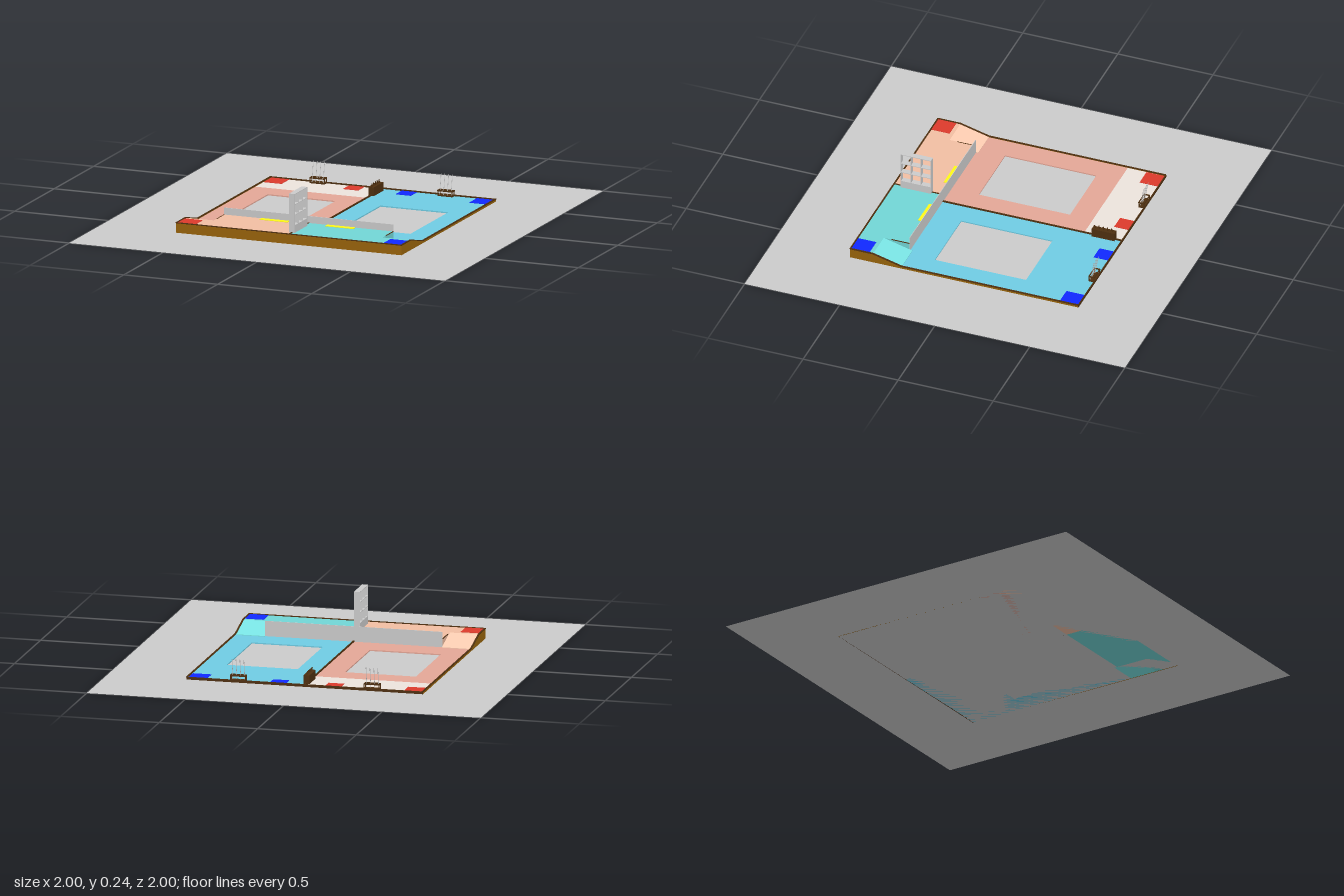
import * as THREE from 'three';

const GREY = 0xcccccc, BROWN = 0x99640b, DARK = 0x4f3010;

export function createModel() {
  const root = new THREE.Group();
  const material = (color) => new THREE.MeshStandardMaterial({ color, side: THREE.DoubleSide });

  const add = (name, geometry, color, parent = root) => {
    const mesh = new THREE.Mesh(geometry, material(color));
    mesh.name = name;
    parent.add(mesh);
    return mesh;
  };

  // Box from its bounds
  const box = (name, color, xa, xb, y0, y1, z0, z1, parent = root) => {
    const g = new THREE.BoxGeometry(Math.abs(xb - xa), y1 - y0, z1 - z0);
    g.translate((xa + xb) / 2, (y0 + y1) / 2, (z0 + z1) / 2);
    return add(name, g, color, parent);
  };

  // Side profile of [z, y] points swept along x
  const sweep = (name, color, xa, xb, points) => {
    const shape = new THREE.Shape(points.map(([z, y]) => new THREE.Vector2(z, y)));
    const g = new THREE.ExtrudeGeometry(shape, { depth: Math.abs(xb - xa), bevelEnabled: false });
    g.rotateY(-Math.PI / 2);
    g.translate(Math.max(xa, xb), 0, 0);
    return add(name, g, color);
  };

  // Thin round rod between two points
  const rod = (name, color, a, b, radius, parent) =>
    add(name, new THREE.TubeGeometry(new THREE.LineCurve3(a, b), 1, radius, 5), color, parent);

  // Ground sheet
  add('ground', new THREE.PlaneGeometry(2, 2).rotateX(-Math.PI / 2), GREY);

  const floorY = 0.006, deckY = 0.048, rimY = 0.013;
  const teams = [
    { side: -1, name: 'right', floor: 0xe4a797, back: 0xede4dd, deck: 0xf2bfa3, ramp: 0xffccb1, mark: 0xdd3a2c },
    { side: 1, name: 'left', floor: 0x70cde4, back: 0x70cde4, deck: 0x72d6d6, ramp: 0x79e4e4, mark: 0x1028ff },
  ];

  for (const { side: s, name, floor, back, deck, ramp, mark } of teams) {
    // Court floor with a rectangular opening
    const rect = (C, x0, x1, z0, z1) => new C([
      new THREE.Vector2(x0, -z0), new THREE.Vector2(x0, -z1),
      new THREE.Vector2(x1, -z1), new THREE.Vector2(x1, -z0),
    ]);
    const court = rect(THREE.Shape, s < 0 ? -0.6 : 0, s < 0 ? 0 : 0.6, -0.4, 0.36);
    court.holes.push(rect(THREE.Path, s < 0 ? -0.48 : 0.12, s < 0 ? -0.12 : 0.48, -0.28, 0.2));
    const courtGeometry = new THREE.ExtrudeGeometry(court, { depth: floorY, bevelEnabled: false });
    add(name + 'CourtFloor', courtGeometry.rotateX(-Math.PI / 2), floor);
    box(name + 'BackFloor', back, 0, s * 0.6, 0, floorY, -0.6, -0.4);

    // Raised deck, ramp and brown outer skirts
    box(name + 'Deck', deck, 0, s * 0.45, 0, deckY, 0.345, 0.597);
    box(name + 'DeckCorner', deck, s * 0.45, s * 0.597, 0, deckY, 0.48, 0.597);
    sweep(name + 'Ramp', ramp, s * 0.45, s * 0.597, [[0.33, 0], [0.48, 0], [0.48, deckY], [0.33, 0.009]]);
    box(name + 'FrontSkirt', BROWN, 0, s * 0.6, 0, deckY + 0.003, 0.597, 0.601);
    sweep(name + 'SideSkirt', BROWN, s * 0.597, s * 0.601,
      [[-0.6, 0], [0.6, 0], [0.6, deckY + 0.003], [0.48, deckY + 0.003], [0.33, rimY], [-0.6, rimY]]);

    // Dark rim along the skirts
    const t = 0.003;
    sweep(name + 'SideRim', DARK, s * 0.594, s * 0.602,
      [[-0.6, rimY - t], [0.33, rimY - t], [0.48, deckY], [0.6, deckY],
        [0.6, deckY + t + 0.001], [0.48, deckY + t + 0.001], [0.33, rimY + 0.001], [-0.6, rimY + 0.001]]);
    box(name + 'FrontRim', DARK, 0, s * 0.6, deckY, deckY + t + 0.001, 0.595, 0.602);
    box(name + 'BackRim', DARK, 0, s * 0.6, 0, rimY, -0.602, -0.597);

    // Square markers and yellow strips
    box(name + 'BackCornerMark', mark, s * 0.5, s * 0.594, floorY, floorY + 0.002, -0.597, -0.5);
    box(name + 'BackInnerMark', mark, s * 0.1, s * 0.18, floorY, floorY + 0.002, -0.597, -0.52);
    box(name + 'FrontCornerMark', mark, s * 0.5, s * 0.594, deckY, deckY + 0.002, 0.5, 0.595);
    box(name + 'YellowStrip', 0xfffa17, s * 0.1, s * 0.25, deckY, deckY + 0.002, 0.347, 0.377);

    // Dark edge where the deck rises beside the ramp
    box(name + 'DeckEdge', DARK, s * 0.447, s * 0.451, deckY - 0.002, deckY + 0.001, 0.345, 0.44);

    // Rear tray with leaning rods
    const tray = new THREE.Group();
    tray.name = name + 'RodTray';
    tray.position.set(s * 0.34, 0, -0.585);
    root.add(tray);
    box('trayBase', DARK, -0.04, 0.04, floorY, 0.012, -0.015, 0.015, tray);
    for (const z of [-0.014, 0.014])
      box('trayRail', DARK, -0.04, 0.04, 0.03, 0.036, z - 0.002, z + 0.002, tray);
    for (const x of [-0.038, 0.038]) {
      box('trayEnd', DARK, x - 0.002, x + 0.002, 0.03, 0.036, -0.015, 0.015, tray);
      for (const z of [-0.013, 0.013])
        box('trayPost', DARK, x - 0.002, x + 0.002, 0.01, 0.036, z - 0.002, z + 0.002, tray);
    }
    for (const x of [-0.03, -0.01, 0.01, 0.03])
      rod('leaningRod', GREY, new THREE.Vector3(x, 0.012, 0.008),
        new THREE.Vector3(x, 0.115, -0.01), 0.0015, tray);
  }

  // Centre divider over floor and deck
  box('floorDivider', DARK, -0.003, 0.003, 0, rimY, -0.6, 0.345);
  box('deckDivider', DARK, -0.003, 0.003, deckY, deckY + 0.003, 0.345, 0.6);

  // Barrier wall at the front of the deck
  box('barrierWall', GREY, -0.45, 0.45, floorY, 0.083, 0.342, 0.345);

  // Upright rack: solid base below a three by three grid of cells
  const rack = new THREE.Group();
  rack.name = 'rack';
  root.add(rack);
  box('rackBase', GREY, -0.015, 0.015, deckY, 0.085, 0.4, 0.56, rack);
  for (let i = 0; i < 4; i++) {
    const y = 0.085 + i * 0.0525, z = 0.4015 + i * 0.0523;
    box('rackShelf', GREY, -0.015, 0.015, y - 0.0015, y + 0.0015, 0.4, 0.56, rack);
    box('rackUpright', GREY, -0.015, 0.015, 0.085, 0.243, z - 0.0015, z + 0.0015, rack);
  }

  // Centre crate at the back with short prongs
  const crate = new THREE.Group();
  crate.name = 'centreCrate';
  root.add(crate);
  box('crateBody', DARK, -0.015, 0.015, floorY, 0.05, -0.565, -0.445, crate);
  for (let i = 0; i < 5; i++) {
    const z = -0.55 + i * 0.0225;
    rod('cratePeg', DARK, new THREE.Vector3(0, 0.05, z), new THREE.Vector3(0, 0.066, z + 0.005), 0.003, crate);
  }

  return root;
}
